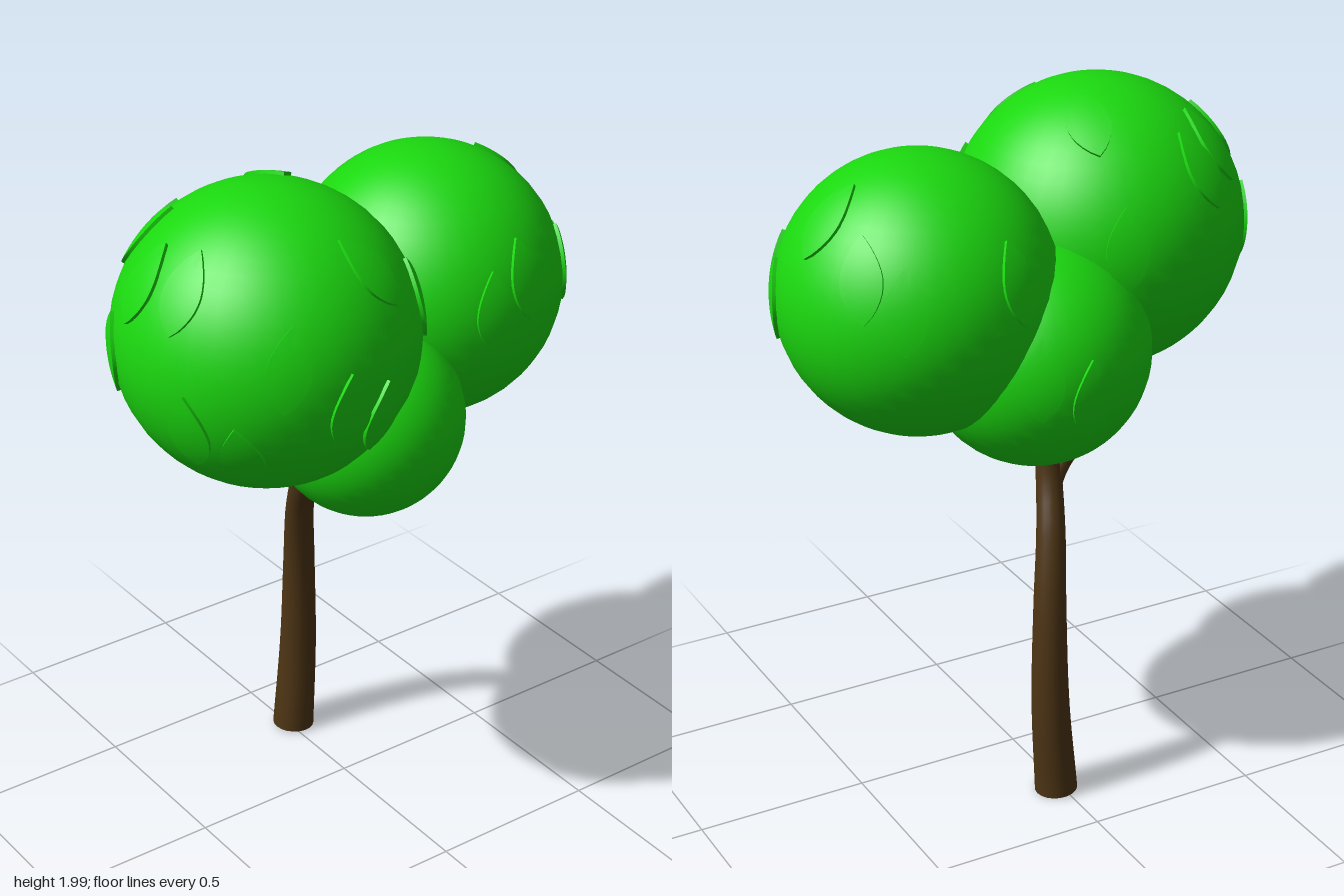
import * as THREE from 'three';
import { toCreasedNormals } from 'three/addons/utils/BufferGeometryUtils.js';

const green = new THREE.MeshStandardMaterial({ color: 0x1bd80f });
const brown = new THREE.MeshStandardMaterial({ color: 0x4e3515 });

// Tube whose radius runs from r0 to r1 along a smooth path
function taperedTube(points, r0, r1, rings = 24, sides = 20) {
  const curve = new THREE.CatmullRomCurve3(points.map(p => new THREE.Vector3(...p)));
  const geo = new THREE.TubeGeometry(curve, rings, 1, sides);
  const pos = geo.attributes.position;
  const v = new THREE.Vector3();
  for (let i = 0; i <= rings; i++) {
    const c = curve.getPointAt(i / rings);
    const r = THREE.MathUtils.lerp(r0, r1, i / rings);
    for (let j = 0; j <= sides; j++) {
      const k = i * (sides + 1) + j;
      v.fromBufferAttribute(pos, k).sub(c).multiplyScalar(r).add(c);
      pos.setXYZ(k, v.x, v.y, v.z);
    }
  }
  return { geo, curve };
}

// Leaf plate lying on a sphere of radius R: a pointed oval with a rim sunk into the sphere
function leafGeometry(R, length = 0.24, width = 0.118) {
  const nx = 8, ny = 14;
  const geo = new THREE.PlaneGeometry(2, 2, nx, ny);
  const pos = geo.attributes.position;
  const p = new THREE.Vector3();
  for (let j = 0; j <= ny; j++) {
    for (let i = 0; i <= nx; i++) {
      const k = j * (nx + 1) + i;
      // the outermost columns and rows repeat the outline at a lower height
      const rim = i === 0 || i === nx || j === 0 || j === ny;
      const u = THREE.MathUtils.clamp((i - nx / 2) / (nx / 2 - 1), -1, 1);
      const t = THREE.MathUtils.clamp((j - 1) / (ny - 2), 0, 1);
      const half = width / 2 * Math.pow(Math.sin(Math.PI * Math.pow(t, 1.15)), 0.8);
      p.set(u * half, (0.5 - t) * length, R).normalize().multiplyScalar(rim ? R - 0.006 : R + 0.009);
      pos.setXYZ(k, p.x, p.y, p.z);
    }
  }
  return toCreasedNormals(geo, 0.7);
}

// Turns +z to the given direction, keeps +y as upright as possible, then rolls
function aim(mesh, [x, y, z], roll = 0) {
  const n = new THREE.Vector3(x, y, z).normalize();
  const right = new THREE.Vector3(0, 1, 0).cross(n).normalize();
  const up = n.clone().cross(right);
  mesh.quaternion.setFromRotationMatrix(new THREE.Matrix4().makeBasis(right, up, n));
  mesh.rotateZ(roll);
}

// Each foliage ball: centre, radius and leaves as [direction x, y, z, roll]
const balls = [
  { name: 'rightFoliage', at: [-0.3, 1.582, 0.065], r: 0.414, leaves: [
    [0.12, 0.255, 0.3, 0.3], [-0.18, 0.085, 0.364, -0.15], [-0.02, -0.065, 0.41],
    [0.095, -0.12, 0.385], [0.33, 0.1, 0.23], [-0.26, -0.185, 0.265, 0.1],
    [-0.36, -0.12, 0.17], [-0.31, 0.235, 0.1], [-0.346, 0.22, -0.045],
    [-0.38, -0.015, -0.165], [-0.215, 0.25, -0.225, -0.1], [-0.14, 0.22, -0.315, 0.1],
    [0.13, 0.355, -0.17, 0.4], [0.13, 0.06, -0.39]] },
  { name: 'leftFoliage', at: [0.32, 1.528, -0.057], r: 0.387, leaves: [
    [-0.05, 0.045, 0.38], [0.065, 0.11, 0.365], [0.31, 0.045, 0.225],
    [0.365, 0.005, 0.13], [0.27, 0.26, -0.04], [0.27, 0.165, -0.225, 0.2],
    [0.19, 0.09, -0.315], [-0.12, 0.12, -0.345]] },
  { name: 'frontFoliage', at: [-0.047, 1.292, 0.165], r: 0.272, leaves: [] },
  { name: 'backFoliage', at: [0.02, 1.34, -0.16], r: 0.32, leaves: [
    [0, -0.03, -0.32], [0.135, 0.04, -0.29]] },
];

export function createModel() {
  const tree = new THREE.Group();
  tree.name = 'tree';

  // Bent trunk with a closed foot
  const trunk = taperedTube([
    [0.016, 0.007, -0.29], [0.036, 0.3, -0.289], [0.028, 0.6, -0.268],
    [0.002, 0.8, -0.225], [-0.022, 0.94, -0.17], [-0.025, 1.1, -0.14]], 0.062, 0.033);
  const trunkMesh = new THREE.Mesh(trunk.geo, brown);
  trunkMesh.name = 'trunk';
  const foot = new THREE.Mesh(new THREE.CircleGeometry(0.062, 20), brown);
  foot.name = 'trunkFoot';
  foot.position.copy(trunk.curve.getPointAt(0));
  foot.lookAt(foot.position.clone().sub(trunk.curve.getTangentAt(0)));

  // Side branch
  const branch = new THREE.Mesh(
    taperedTube([[-0.012, 0.9, -0.185], [-0.055, 0.97, -0.165], [-0.17, 1.08, -0.15]], 0.03, 0.026, 10, 14).geo, brown);
  branch.name = 'branch';
  tree.add(trunkMesh, foot, branch);

  // Foliage balls with their leaves
  for (const { name, at, r, leaves } of balls) {
    const group = new THREE.Group();
    group.name = name;
    group.position.set(...at);
    const ball = new THREE.Mesh(new THREE.SphereGeometry(r, 40, 28), green);
    ball.name = name + 'Ball';
    group.add(ball);
    const geo = leafGeometry(r);
    for (const [x, y, z, roll] of leaves) {
      const leaf = new THREE.Mesh(geo, green);
      leaf.name = 'leaf';
      aim(leaf, [x, y, z], roll);
      group.add(leaf);
    }
    tree.add(group);
  }
  return tree;
}
